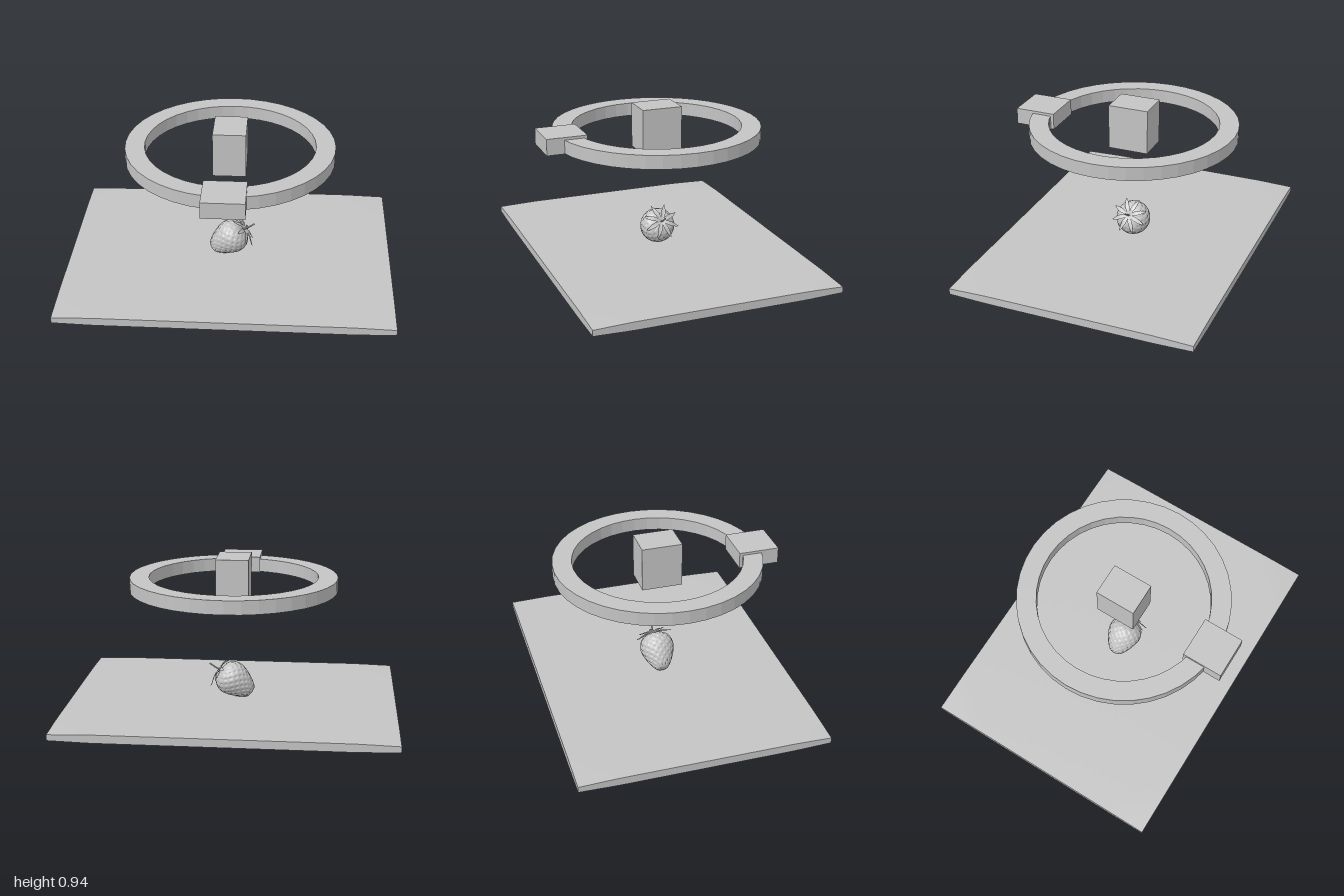
import * as THREE from 'three';
import { mergeVertices } from 'three/addons/utils/BufferGeometryUtils.js';

const grey = new THREE.MeshStandardMaterial({ color: 0xc4c4c4 });
grey.name = 'plain grey';
const greyThin = grey.clone();
greyThin.name = 'plain grey two sided';
greyThin.side = THREE.DoubleSide;

function add(parent, name, geometry, material = grey) {
  const mesh = new THREE.Mesh(geometry, material);
  mesh.name = name;
  parent.add(mesh);
  return mesh;
}

// Slab whose corners thin out very slightly
function slabGeometry() {
  const g = new THREE.BoxGeometry(2, 0.05, 1.5, 32, 1, 24);
  const p = g.attributes.position;
  for (let i = 0; i < p.count; i++) {
    const u = (Math.abs(p.getX(i)) - 0.76) / 0.24;
    const v = (Math.abs(p.getZ(i)) - 0.52) / 0.23;
    const squeeze = 0.007 * Math.max(0, u + v - 1);
    p.setY(i, p.getY(i) - Math.sign(p.getY(i)) * squeeze);
  }
  g.computeVertexNormals();
  return g;
}

// Flat faceted ring with a rectangular section
function ringGeometry(inner, outer, y0, y1) {
  const section = [[inner, y0], [outer, y0], [outer, y1], [inner, y1], [inner, y0]];
  const g = new THREE.LatheGeometry(section.map(([r, y]) => new THREE.Vector2(r, y)), 40).toNonIndexed();
  g.computeVertexNormals();
  return g;
}

// Berry body with staggered dimples
function berryGeometry() {
  const profile = [[0, 0], [0.035, 0.008], [0.062, 0.04], [0.086, 0.085], [0.102, 0.13],
    [0.105, 0.165], [0.092, 0.205], [0.058, 0.232], [0, 0.24]];
  const curve = new THREE.SplineCurve(profile.map(([r, y]) => new THREE.Vector2(r, y)));
  const points = curve.getSpacedPoints(72);
  points.forEach((q) => { q.x = Math.max(0, q.x); });
  let g = new THREE.LatheGeometry(points, 104);
  const p = g.attributes.position;
  for (let i = 0; i < p.count; i++) {
    const x = p.getX(i), y = p.getY(i), z = p.getZ(i);
    const r = Math.hypot(x, z);
    if (r < 0.02) continue;
    const wave = Math.cos(13 * Math.atan2(x, z)) * Math.cos(y * Math.PI / 0.021);
    const k = 1 - 0.006 * Math.max(0, wave) / r;
    p.setXYZ(i, x * k, y, z * k);
  }
  g.deleteAttribute('normal');
  g.deleteAttribute('uv');
  g = mergeVertices(g, 1e-5);
  g.computeVertexNormals();
  return g;
}

// Pointed, curling leaf: a strip of [distance, height, half width] sections
function leafGeometry() {
  const sections = [[0.005, 0.242, 0.006], [0.03, 0.252, 0.011], [0.055, 0.252, 0.014],
    [0.08, 0.245, 0.011], [0.1, 0.239, 0.006], [0.114, 0.238, 0.0005]];
  const verts = [], index = [];
  sections.forEach(([d, h, w], i) => {
    verts.push(d, h, -w, d, h - 0.003, 0, d, h, w);
    if (!i) return;
    for (let j = 0; j < 2; j++) {
      const a = (i - 1) * 3 + j, b = a + 3;
      index.push(a, a + 1, b, b, a + 1, b + 1);
    }
  });
  const g = new THREE.BufferGeometry();
  g.setAttribute('position', new THREE.Float32BufferAttribute(verts, 3));
  g.setIndex(index);
  g.computeVertexNormals();
  return g;
}

export function createModel() {
  const model = new THREE.Group();
  model.name = 'berryDisplay';

  // Base
  add(model, 'baseSlab', slabGeometry()).position.y = 0.025;

  // Floating ring with its block, and the block in the middle
  add(model, 'ring', ringGeometry(0.513, 0.63, 0.737, 0.819));
  add(model, 'ringBlock', new THREE.BoxGeometry(0.25, 0.099, 0.247)).position.set(0, 0.7855, 0.6);
  add(model, 'centreBlock', new THREE.BoxGeometry(0.198, 0.273, 0.247)).position.set(0, 0.803, 0);

  // Strawberry lying on its side, tip to the lower left
  const berry = new THREE.Group();
  berry.name = 'strawberry';
  berry.position.set(-0.115, 0.08, 0);
  berry.rotation.z = -0.963;
  model.add(berry);
  add(berry, 'berryBody', berryGeometry());

  // Leaf crown
  const leaf = leafGeometry();
  for (let i = 0; i < 8; i++) {
    add(berry, 'leaf', leaf, greyThin).rotation.y = (i + 0.5) * Math.PI / 4;
  }

  // Stem
  const path = new THREE.CatmullRomCurve3([
    new THREE.Vector3(0, 0.235, 0), new THREE.Vector3(0.003, 0.28, 0), new THREE.Vector3(0.004, 0.32, 0)]);
  add(berry, 'stem', new THREE.TubeGeometry(path, 8, 0.005, 8), greyThin);

  return model;
}
